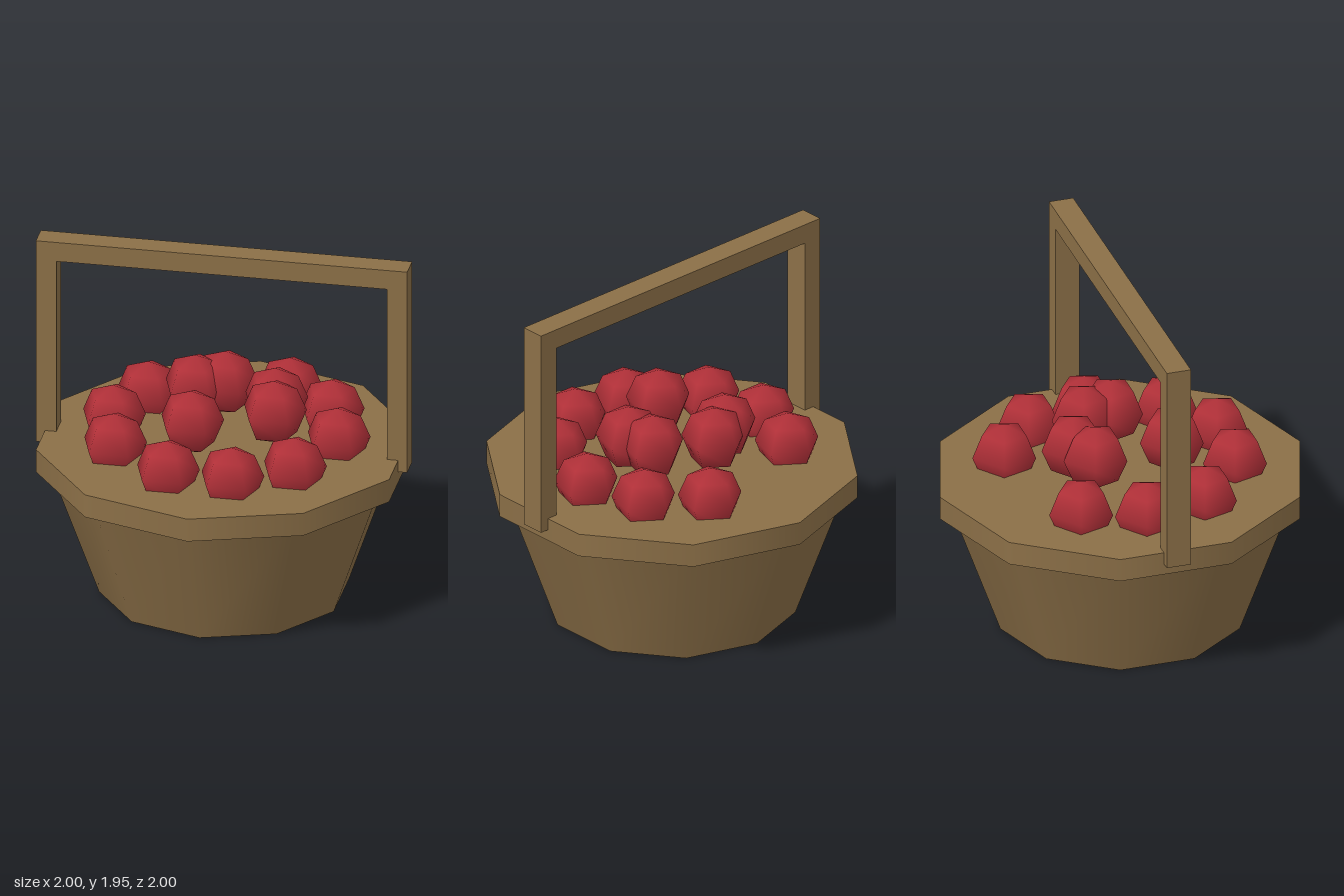
import * as THREE from 'three';

export function createModel() {
  const model = new THREE.Group();
  model.name = 'fruitBasket';

  const wood = new THREE.MeshStandardMaterial({ color: 0x8b6f47 });
  wood.name = 'wood';
  const red = new THREE.MeshStandardMaterial({ color: 0xb03038 });
  red.name = 'fruitRed';

  const add = (name, geometry, material, x, y, z, parent = model) => {
    const mesh = new THREE.Mesh(geometry, material);
    mesh.name = name;
    mesh.position.set(x, y, z);
    parent.add(mesh);
    return mesh;
  };

  // Ten-sided tapered bowl and its solid rim
  add('basketBody', new THREE.CylinderGeometry(0.943, 0.665, 0.78, 10), wood, 0, 0.39, 0);
  add('rim', new THREE.CylinderGeometry(1, 1, 0.13, 10), wood, 0, 0.782, 0);

  // Square handle: two posts and a crossbar
  const handle = new THREE.Group();
  handle.name = 'handle';
  model.add(handle);
  const post = new THREE.BoxGeometry(0.11, 1.17, 0.134);
  add('leftPost', post, wood, 0.945, 1.365, 0, handle);
  add('rightPost', post, wood, -0.945, 1.365, 0, handle);
  add('crossbar', new THREE.BoxGeometry(1.78, 0.11, 0.134), wood, 0, 1.895, 0, handle);

  // Five-sided fruit, one corner pointing to the back
  const fruit = new THREE.SphereGeometry(0.177, 5, 4).rotateY(-Math.PI / 2);
  const layers = [
    { name: 'lowerFruit', y: 0.913, spots: [
      [0.24, -0.565], [-0.485, -0.375], [0.51, -0.34], [-0.61, -0.05], [0.61, 0],
      [-0.535, 0.297], [0.455, 0.405], [-0.195, 0.575], [0.155, 0.59],
    ] },
    { name: 'upperFruit', y: 1.058, spots: [
      [-0.195, -0.2], [-0.05, -0.275], [0.25, -0.12], [0.275, 0.04], [-0.13, 0.245],
    ] },
  ];
  for (const { name, y, spots } of layers) {
    const layer = new THREE.Group();
    layer.name = name;
    model.add(layer);
    spots.forEach(([x, z], i) => add(`${name}${i + 1}`, fruit, red, x, y, z, layer));
  }

  return model;
}
